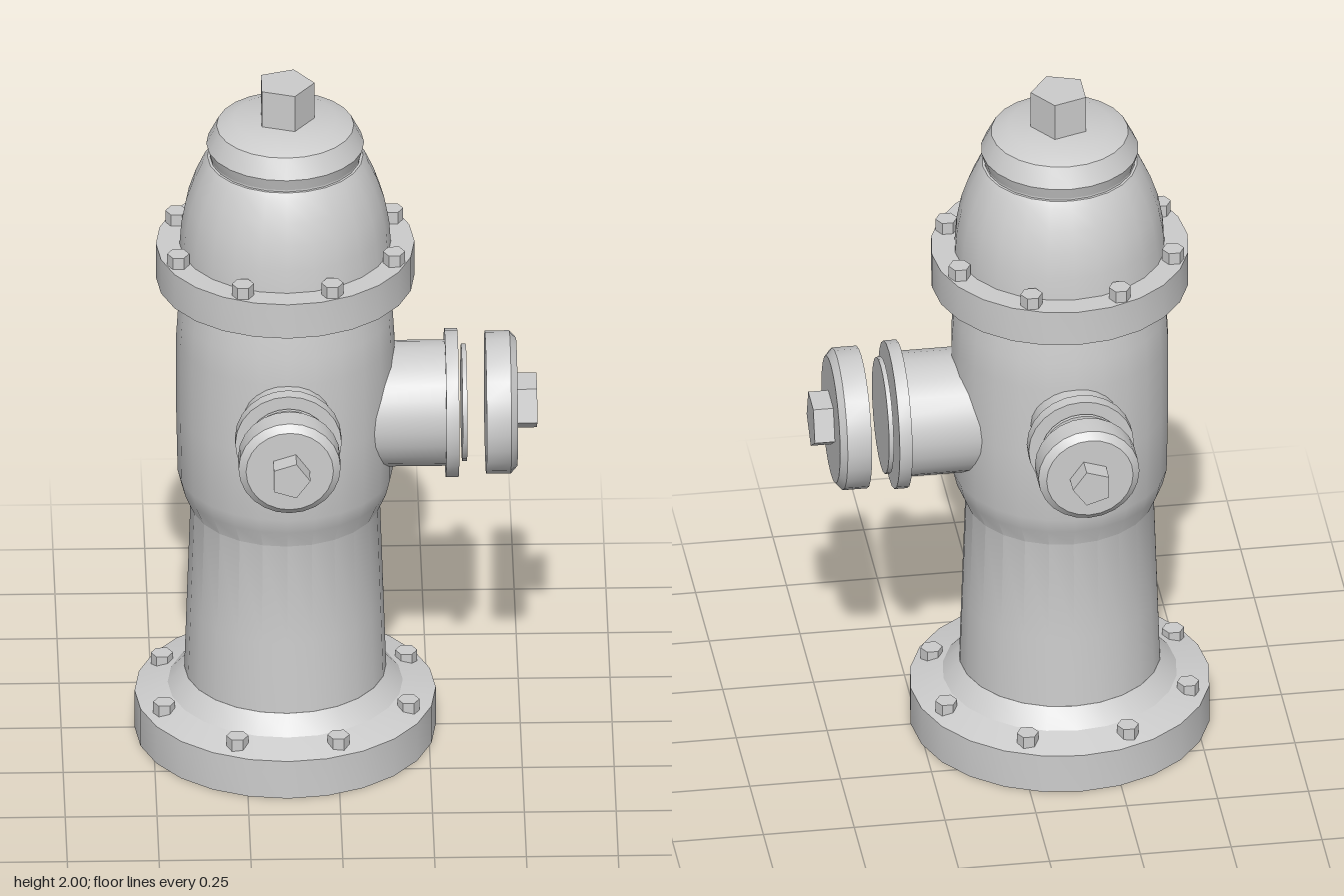
import * as THREE from 'three';
import { toCreasedNormals } from 'three/addons/utils/BufferGeometryUtils.js';

const iron = new THREE.MeshStandardMaterial({ color: 0xcccccc });
iron.name = 'grey iron';

function add(parent, name, geometry) {
  const mesh = new THREE.Mesh(geometry, iron);
  mesh.name = name;
  parent.add(mesh);
  return mesh;
}

// Turned part from [radius, height] pairs, bottom to top, with crisp rims
function turned(points, sides = 24) {
  const profile = points.map(([r, y]) => new THREE.Vector2(r, y));
  return toCreasedNormals(new THREE.LatheGeometry(profile, sides), 0.45);
}

const disc = (r, y0, y1) => turned([[0, y0], [r, y0], [r, y1], [0, y1]]);

// Straight prism with one corner towards +x
function prism(r, y0, y1, sides) {
  const g = new THREE.CylinderGeometry(r, r, y1 - y0, sides, 1, false, Math.PI / 2);
  return toCreasedNormals(g.translate(0, (y0 + y1) / 2, 0), 0.3);
}

// Eight hex bolts standing on a flange
function boltRing(parent, name, radius, y) {
  for (let i = 0; i < 8; i++) {
    const a = (i + 0.5) * Math.PI / 4;
    const bolt = add(parent, name, prism(0.03, 0, 0.04, 6));
    bolt.position.set(radius * Math.cos(a), y, radius * Math.sin(a));
  }
}

// Hose outlet along local +y: pipe, flange, loose washer, cap and nut
function outlet(name, d) {
  const g = new THREE.Group();
  g.name = name;
  add(g, 'pipe', disc(d.pipe, 0.1, d.flangeAt[0]));
  add(g, 'pipeFlange', disc(d.flange, ...d.flangeAt));
  add(g, 'washer', disc(d.washer, ...d.washerAt));
  const [c0, c1, c2] = d.capAt;
  add(g, 'cap', turned([[0, c0], [d.cap, c0], [d.cap, c1], [d.cap - 0.02, c2], [0, c2]]));
  add(g, 'capNut', prism(d.nut, c2 - 0.005, d.end, 5));
  return g;
}

export function createModel() {
  const model = new THREE.Group();
  model.name = 'hydrant';
  const body = new THREE.Group();
  body.name = 'body';
  body.position.x = -0.14;
  model.add(body);

  // Foot flange and barrel
  add(body, 'foot', turned([[0, 0], [0.41, 0], [0.41, 0.115], [0.32, 0.14], [0.275, 0.19], [0, 0.19]]));
  boltRing(body, 'footBolt', 0.36, 0.115);
  add(body, 'barrel', turned([
    [0.275, 0.18], [0.268, 0.4], [0.258, 0.7], [0.282, 0.755], [0.293, 0.8],
    [0.297, 1.0], [0.297, 1.22], [0.292, 1.3], [0.272, 1.41],
  ]));

  // Upper flange and bonnet
  add(body, 'upperFlange', disc(0.352, 1.4, 1.505));
  boltRing(body, 'upperBolt', 0.318, 1.5);
  add(body, 'bonnet', turned([
    [0.288, 1.5], [0.283, 1.57], [0.27, 1.64], [0.25, 1.7], [0.225, 1.755],
    [0.212, 1.775], [0.205, 1.775], [0.205, 1.8],
  ]));
  add(body, 'crown', turned([
    [0, 1.78], [0.205, 1.78], [0.215, 1.815], [0.187, 1.87], [0.14, 1.89], [0, 1.892],
  ]));
  add(body, 'topNut', prism(0.08, 1.88, 2, 5));

  // Large outlet on the left side
  const large = outlet('largeOutlet', {
    pipe: 0.172, flange: 0.203, washer: 0.16, cap: 0.195, nut: 0.08,
    flangeAt: [0.435, 0.47], washerAt: [0.48, 0.493], capAt: [0.545, 0.612, 0.63], end: 0.685,
  });
  large.rotation.z = -Math.PI / 2;
  large.position.y = 1;
  body.add(large);

  // Small outlets on the front and back
  for (const side of [1, -1]) {
    const small = outlet(side > 0 ? 'frontOutlet' : 'backOutlet', {
      pipe: 0.12, flange: 0.145, washer: 0.113, cap: 0.139, nut: 0.055,
      flangeAt: [0.363, 0.4], washerAt: [0.41, 0.421], capAt: [0.472, 0.54, 0.557], end: 0.613,
    });
    small.rotation.x = side * Math.PI / 2;
    small.position.y = 1.1;
    body.add(small);
  }
  return model;
}
